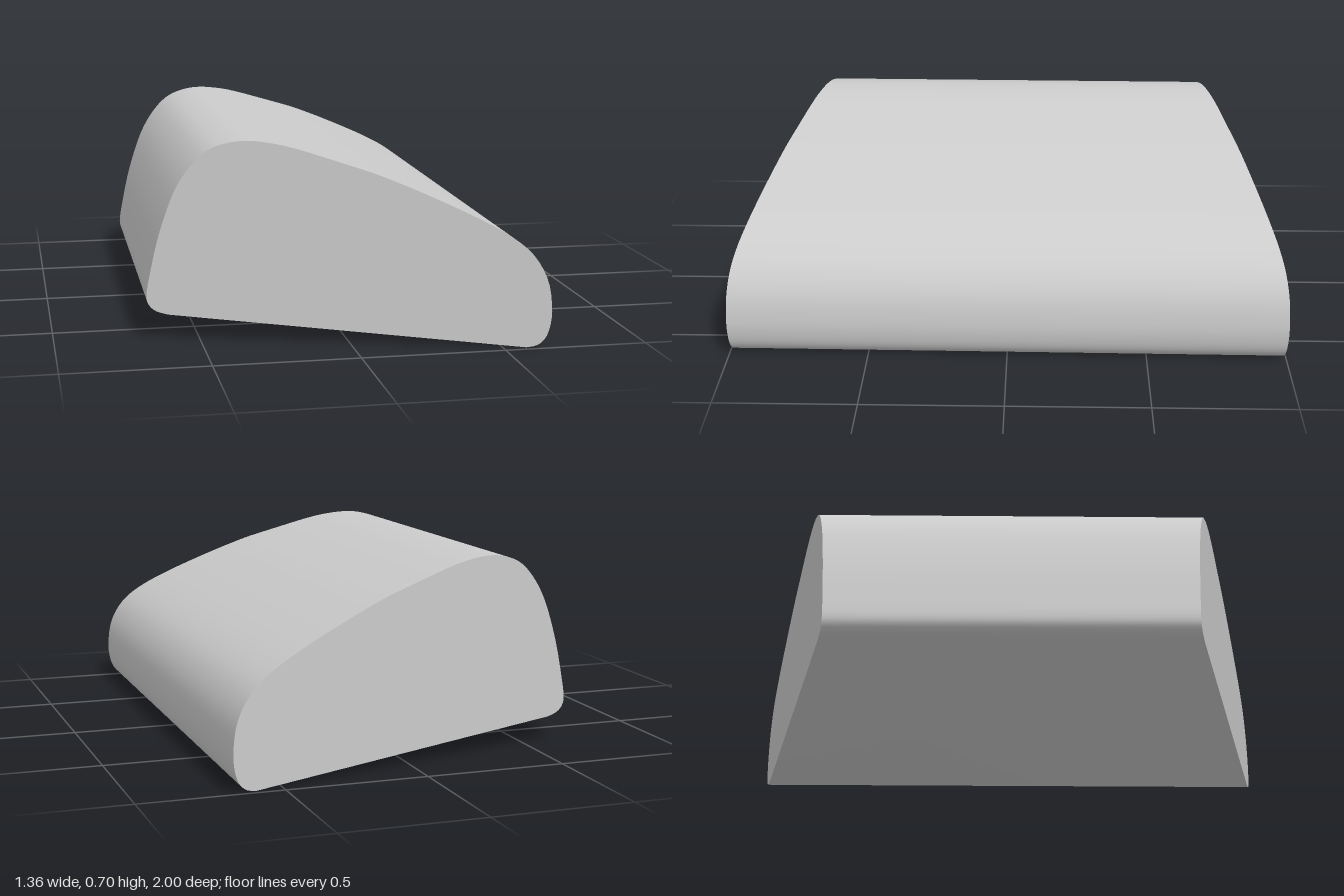
import * as THREE from 'three';
import { toCreasedNormals } from 'three/addons/utils/BufferGeometryUtils.js';

// Rounded wedge outline, from the lower left corner over the top to the lower right
const outline = [
  [-0.61, 0.09], [-0.65, 0.102], [-0.674, 0.125], [-0.68, 0.16], [-0.667, 0.235],
  [-0.64, 0.355], [-0.6, 0.48], [-0.56, 0.565], [-0.51, 0.632], [-0.46, 0.672],
  [-0.4, 0.693], [-0.34, 0.7], [-0.27, 0.694], [-0.18, 0.675], [-0.02, 0.625],
  [0.1, 0.585], [0.26, 0.518], [0.42, 0.443], [0.53, 0.38], [0.6, 0.318],
  [0.645, 0.235], [0.66, 0.14], [0.655, 0.075], [0.64, 0.033], [0.615, 0.009], [0.58, 0],
];

// Slanted planes of the two ends
const frontZ = x => 0.64 + (x + 0.68) * 0.269;
const backZ = x => -0.67 - (x + 0.68) * 0.246;

export function createModel() {
  const group = new THREE.Group();
  const points = outline.map(([x, y]) => new THREE.Vector2(x, y));

  const shape = new THREE.Shape();
  shape.moveTo(points[0].x, points[0].y);
  shape.splineThru(points.slice(1));
  shape.closePath();

  const geometry = new THREE.ExtrudeGeometry(shape, { depth: 1, bevelEnabled: false, curveSegments: 3 });

  // Flare the length towards the right, with a slight skew of the axis
  const pos = geometry.attributes.position;
  for (let i = 0; i < pos.count; i++) {
    const x = pos.getX(i);
    const front = frontZ(x);
    const z = THREE.MathUtils.lerp(backZ(x), front, pos.getZ(i));
    pos.setX(i, x + 0.008 * (front - z));
    pos.setZ(i, z);
  }

  const body = new THREE.Mesh(
    toCreasedNormals(geometry, 0.7),
    new THREE.MeshStandardMaterial({ color: 0xcccccc }),
  );
  body.name = 'wedgeBody';
  group.add(body);
  return group;
}
